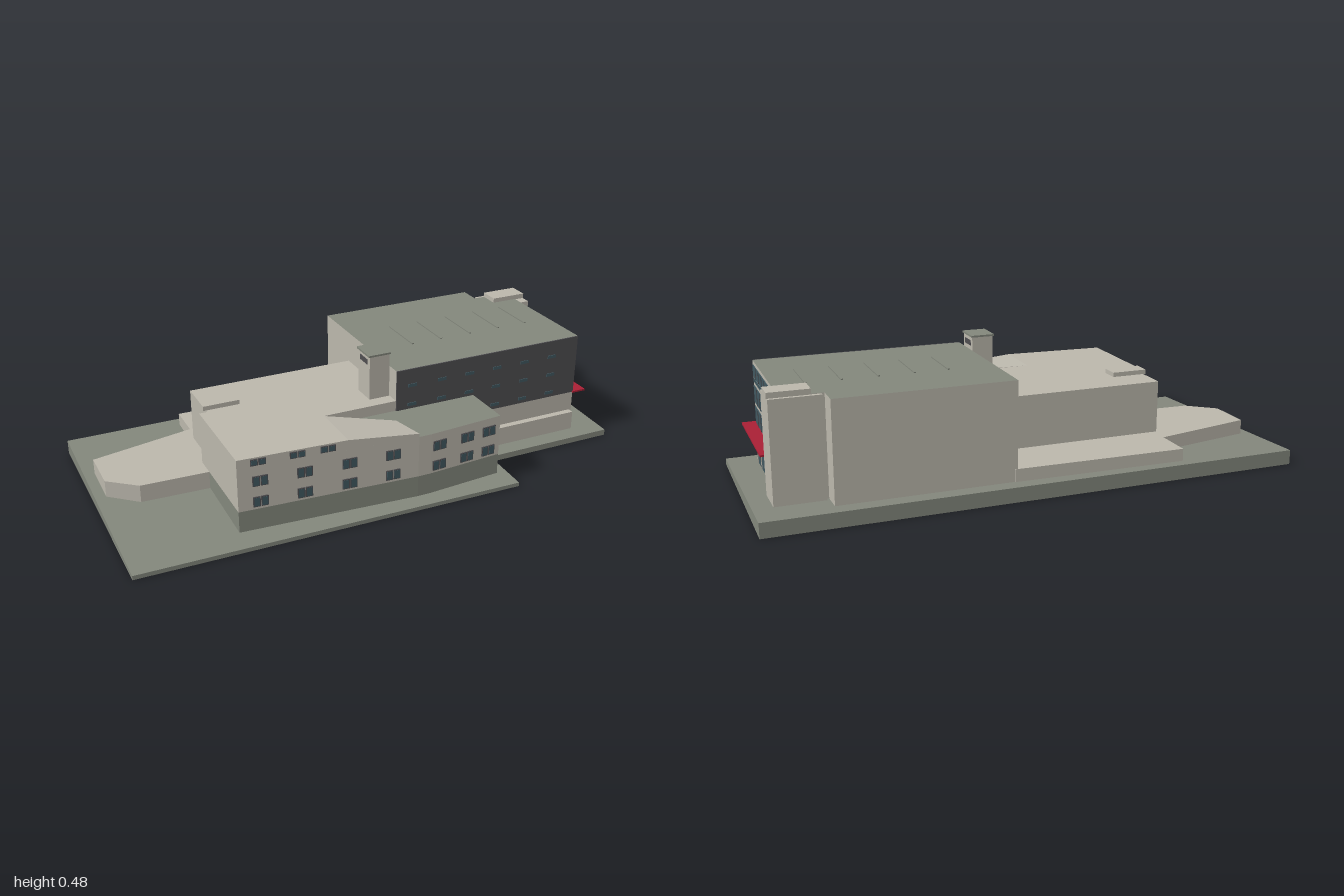
import * as THREE from 'three';

const mat = (name, color, side = THREE.FrontSide) => {
  const m = new THREE.MeshStandardMaterial({ color, side });
  m.name = name;
  return m;
};

export function createModel() {
  const root = new THREE.Group();
  root.name = 'buildingComplex';
  const wall = mat('pale wall', 0xbab6ab);
  const grey = mat('grey roof and paving', 0x82867b);
  const dark = mat('charcoal cladding', 0x4e4d50);
  const glass = mat('blue glass', 0x40575f);
  const red = mat('red canopy', 0xa91f35);

  const add = (name, geo, material, parent = root) => {
    const m = new THREE.Mesh(geo, material);
    m.name = name;
    parent.add(m);
    return m;
  };
  const group = (name) => {
    const g = new THREE.Group();
    g.name = name;
    root.add(g);
    return g;
  };
  // box from its limits
  const box = (name, x0, x1, y0, y1, z0, z1, material, parent) => {
    const m = add(name, new THREE.BoxGeometry(x1 - x0, y1 - y0, z1 - z0), material, parent);
    m.position.set((x0 + x1) / 2, (y0 + y1) / 2, (z0 + z1) / 2);
    return m;
  };
  // upright prism over a plan of [x, z] points; top may follow a height rule
  const prism = (name, plan, y0, y1, side, cap = side, topRule = null) => {
    const shape = new THREE.Shape(plan.map(([x, z]) => new THREE.Vector2(x, -z)));
    const geo = new THREE.ExtrudeGeometry(shape, { depth: y1 - y0, bevelEnabled: false });
    geo.rotateX(-Math.PI / 2);
    geo.translate(0, y0, 0);
    if (topRule) {
      const p = geo.attributes.position;
      for (let i = 0; i < p.count; i++) {
        if (p.getY(i) > y0 + 1e-4) p.setY(i, topRule(p.getX(i), p.getZ(i)));
      }
      geo.computeVertexNormals();
    }
    return add(name, geo, [cap, side]);
  };

  // sloping site slab
  prism('siteSlab', [[-1, -0.487], [1, -0.487], [1, 0.28], [0.46, 0.28], [0.46, 0.482], [-1, 0.46]],
    0, 0.03, grey, grey, (x, z) => 0.035 - z * 0.0415);

  // low terrace behind and to the west
  prism('lowTerrace', [[-0.96, -0.21], [-0.56, -0.295], [-0.56, -0.442], [0.1, -0.428], [0.1, -0.1],
    [-0.5, 0.06], [-0.6, 0.06], [-0.855, 0.05], [-0.96, -0.035]], 0.01, 0.1, wall);

  // front wing: base course, pale storeys, raised roof and its falling tip
  const wing = [[-0.6, -0.02], [-0.6, 0.37], [0.07, 0.412], [0.12, 0.412], [0.42, 0.39], [0.42, 0.15], [0.09, 0.15], [0.09, -0.02]];
  prism('wingBase', wing, 0.01, 0.1, grey);
  prism('wingStoreys', wing, 0.1, 0.26, wall, grey);
  prism('middleBlock', [[-0.57, -0.22], [0.1, -0.22], [0.1, 0], [-0.57, 0]], 0.01, 0.3, wall);
  prism('raisedRoof', [[-0.6, -0.02], [-0.6, 0.37], [-0.2, 0.395], [-0.2, 0.19], [0.09, 0.19], [0.09, -0.02]],
    0.26, 0.3, wall);
  prism('fallingRoof', [[-0.2, 0.19], [-0.2, 0.395], [0.07, 0.412], [0.04, 0.29]], 0.26, 0.3, wall, wall,
    (x) => 0.3 - 0.027 * (x + 0.2) / 0.27);
  box('roofHatch', -0.58, -0.44, 0.3, 0.317, -0.1, -0.033, wall);

  // paired windows along the bent front
  const windows = group('frontWindows');
  const facade = (x) => (x < 0.1
    ? { z: 0.37 + (x + 0.6) * 0.0627, turn: -0.0626 }
    : { z: 0.412 - (x - 0.12) * 0.0733, turn: 0.0732 });
  const pair = (x, y, h) => {
    const f = facade(x);
    const g = new THREE.Group();
    g.name = 'windowPair';
    g.position.set(x, y, f.z + 0.002);
    g.rotation.y = f.turn;
    windows.add(g);
    for (const s of [-1, 1]) {
      const n = add('windowFrame', new THREE.BoxGeometry(0.026, h, 0.006), dark, g);
      n.position.x = s * 0.0145;
      const p = add('windowPane', new THREE.BoxGeometry(0.02, h - 0.006, 0.008), glass, g);
      p.position.x = s * 0.0145;
    }
  };
  for (const x of [-0.52, -0.36, -0.195, -0.03, 0.155, 0.275, 0.37]) {
    pair(x, 0.21, 0.038);
    pair(x, 0.13, 0.038);
  }
  for (const x of [-0.525, -0.385, -0.275]) pair(x, 0.283, 0.024);

  // tall block with notched corner, and its stair tower
  prism('tallBlock', [[0.09, -0.425], [0.74, -0.425], [0.74, -0.34], [0.89, -0.34], [0.89, 0.19], [0.09, 0.19]],
    0.01, 0.42, wall, grey);
  box('stairTower', 0.75, 0.93, 0.01, 0.418, -0.355, -0.22, wall);
  box('towerCap', 0.785, 0.932, 0.418, 0.438, -0.342, -0.262, wall);
  box('lowPlinth', 0.42, 0.88, 0.01, 0.1, 0.18, 0.215, wall);
  box('frontCladding', 0.09, 0.888, 0.18, 0.42, 0.188, 0.195, dark);
  const slots = group('claddingWindows');
  for (const x of [0.155, 0.28, 0.4, 0.52, 0.645, 0.77]) {
    for (const y of [0.2, 0.278, 0.355]) box('slotWindow', x - 0.018, x + 0.018, y - 0.006, y + 0.006, 0.19, 0.198, glass, slots);
  }
  const ribs = group('roofRibs');
  for (const x of [0.265, 0.39, 0.52, 0.65, 0.775]) box('roofRib', x - 0.004, x + 0.004, 0.419, 0.424, -0.205, -0.01, grey, ribs);

  // glazed east end
  const east = group('eastGlazing');
  box('entranceGlass', 0.886, 0.893, 0.03, 0.172, -0.2, 0.185, glass, east);
  for (const z of [0.17, 0.09, 0.01, -0.07, -0.147]) box('entranceMullion', 0.886, 0.896, 0.03, 0.172, z - 0.002, z + 0.002, wall, east);
  for (const [y0, y1] of [[0.185, 0.248], [0.265, 0.328], [0.364, 0.406]]) {
    box('windowBand', 0.886, 0.893, y0, y1, -0.204, 0.178, glass, east);
    for (const z of [0.11, 0.05, -0.012, -0.073, -0.133]) box('bandMullion', 0.886, 0.895, y0, y1, z - 0.001, z + 0.001, dark, east);
  }
  for (let i = 0; i < 18; i++) {
    const z = 0.168 - i * 0.0213;
    box('smallWindow', 0.886, 0.893, 0.344, 0.358, z - 0.007, z + 0.007, glass, east);
  }
  box('canopy', 0.885, 0.942, 0.177, 0.184, -0.205, 0.2, red);

  // chimney with louvres and cap
  box('chimney', 0.007, 0.088, 0.25, 0.47, 0.043, 0.138, wall);
  box('chimneyCap', 0.002, 0.092, 0.47, 0.477, 0.038, 0.142, grey);
  for (const x of [0.007, 0.088]) box('chimneyLouvre', x - 0.002, x + 0.002, 0.435, 0.455, 0.06, 0.12, dark);

  return root;
}
